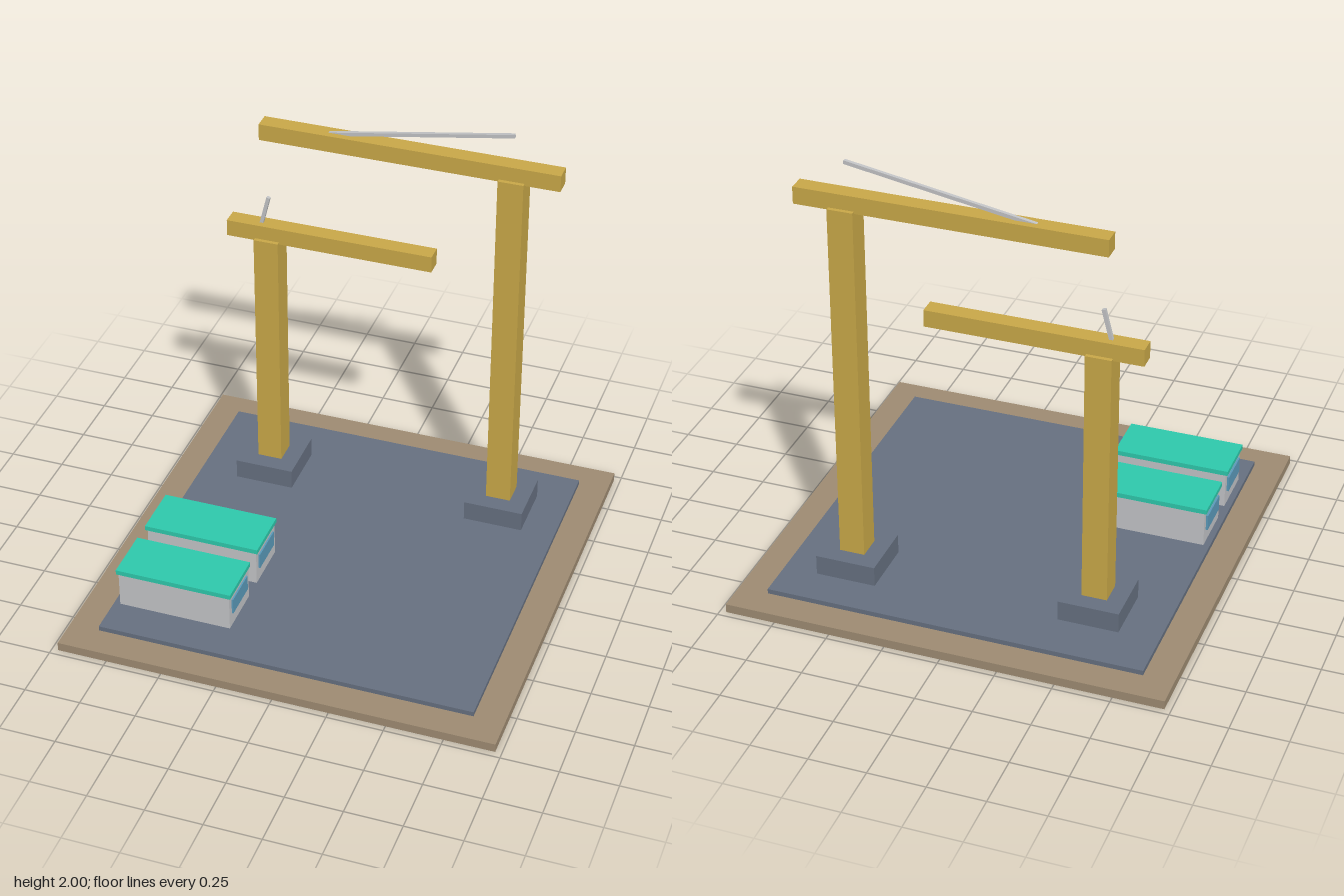
import * as THREE from 'three';

const mat = (name, color) => {
  const m = new THREE.MeshStandardMaterial({ color });
  m.name = name;
  return m;
};

// Box given by its extents along x, y and z
function box(name, material, [x0, x1], [y0, y1], [z0, z1]) {
  const mesh = new THREE.Mesh(new THREE.BoxGeometry(x1 - x0, y1 - y0, z1 - z0), material);
  mesh.position.set((x0 + x1) / 2, (y0 + y1) / 2, (z0 + z1) / 2);
  mesh.name = name;
  return mesh;
}

const around = (c, half) => [c - half, c + half];

export function createModel() {
  const earth = mat('earth brown', 0x9e8b72);
  const slate = mat('slate concrete', 0x667080);
  const yellow = mat('crane yellow', 0xc9a848);
  const steel = mat('steel grey', 0xc2c3c5);
  const wall = mat('cabin grey', 0xc3c4c7);
  const teal = mat('roof teal', 0x2ec9ac);
  const glass = mat('window blue', 0x5b9aba);

  const model = new THREE.Group();
  model.name = 'constructionSite';

  // Ground and paved yard
  model.add(box('ground', earth, [-0.972, 0.972], [0, 0.04], [-0.972, 0.972]));
  model.add(box('yard', slate, [-0.838, 0.838], [0.04, 0.062], [-0.838, 0.838]));

  // Tower crane: footing, mast, jib and a slanting tie bar
  function crane(name, x, z, top, jibX, barFrom, barTo) {
    const g = new THREE.Group();
    g.name = name;
    g.add(box('footing', slate, around(x, 0.134), [0.062, 0.153], around(z, 0.134)));
    g.add(box('mast', yellow, around(x, 0.056), [0.153, top + 0.01], around(z, 0.056)));
    g.add(box('jib', yellow, jibX, [top, top + 0.076], around(z, 0.038)));
    const dx = barTo[0] - barFrom[0], dy = barTo[1] - barFrom[1];
    const bar = new THREE.Mesh(new THREE.BoxGeometry(Math.hypot(dx, dy), 0.016, 0.016), steel);
    bar.position.set((barFrom[0] + barTo[0]) / 2, (barFrom[1] + barTo[1]) / 2, z);
    bar.rotation.z = Math.atan2(dy, dx);
    bar.name = 'tieBar';
    g.add(bar);
    return g;
  }
  model.add(crane('tallCrane', 0.553, -0.527, 1.785, [-0.57, 0.763], [-0.27, 1.852], [0.55, 1.992]));
  model.add(crane('shortCrane', -0.527, -0.488, 1.302, [-0.713, 0.224], [-0.57, 1.35], [-0.53, 1.508]));

  // Site cabins with a window plate at each end
  for (const z of [0.227, 0.553]) {
    const g = new THREE.Group();
    g.name = 'cabin';
    g.add(box('cabinWalls', wall, [-0.81, -0.302], [0.062, 0.226], around(z, 0.115)));
    g.add(box('cabinRoof', teal, [-0.82, -0.295], [0.226, 0.248], around(z, 0.12)));
    g.add(box('windowRight', glass, [-0.819, -0.81], [0.125, 0.198], around(z, 0.087)));
    g.add(box('windowLeft', glass, [-0.302, -0.295], [0.125, 0.198], around(z, 0.087)));
    model.add(g);
  }
  return model;
}
